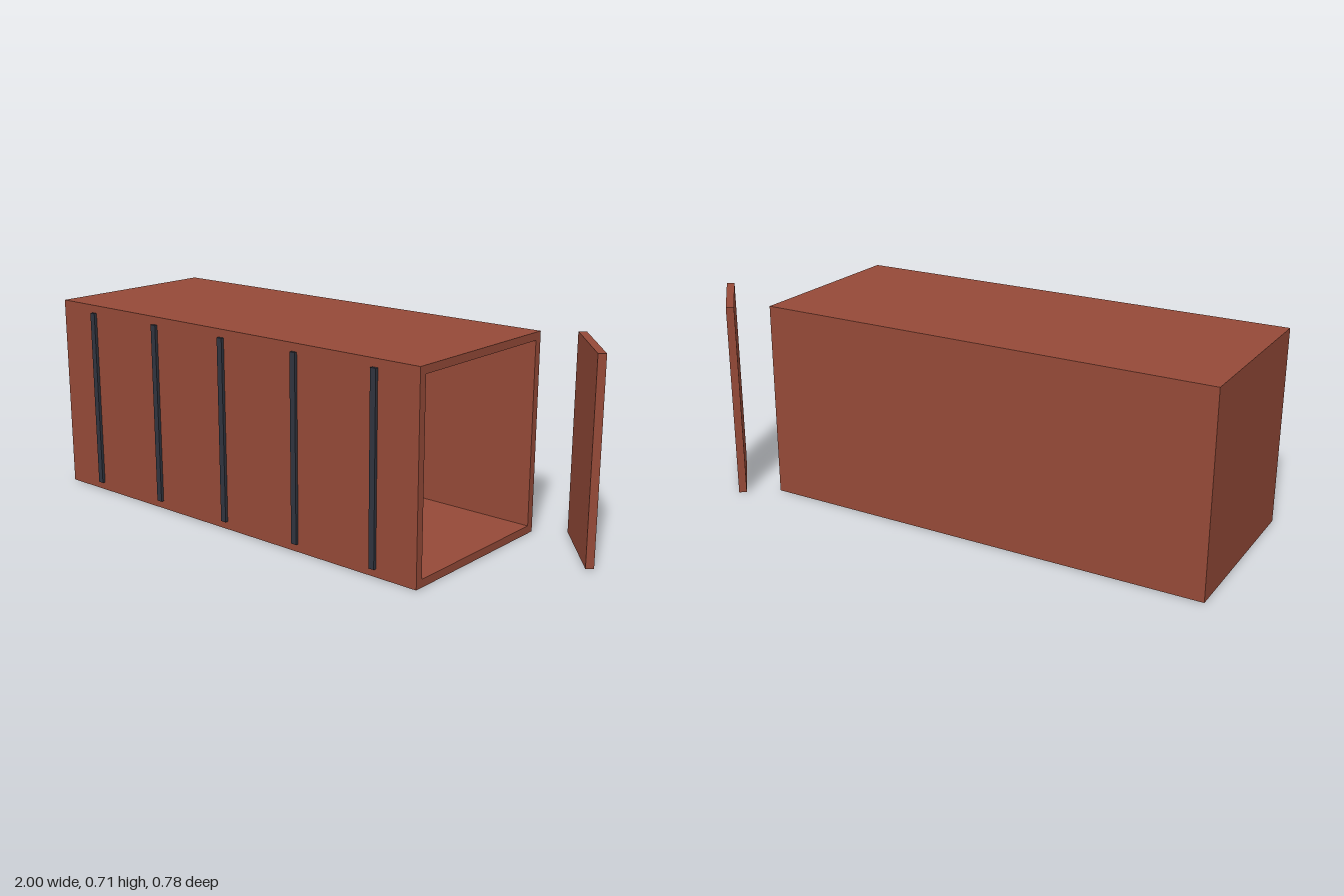
import * as THREE from 'three';

export function createModel() {
  const model = new THREE.Group();
  model.name = 'container';
  const rust = new THREE.MeshStandardMaterial({ color: 0x954a38 });
  rust.name = 'rust red';
  const dark = new THREE.MeshStandardMaterial({ color: 0x30343f });
  dark.name = 'dark steel';

  const box = (name, material, size, position) => {
    const mesh = new THREE.Mesh(new THREE.BoxGeometry(...size), material);
    mesh.name = name;
    mesh.position.set(...position);
    model.add(mesh);
    return mesh;
  };

  // Outer shell: left end (+x) open, right end closed
  const x0 = -1, x1 = 0.665, z0 = -0.295, z1 = 0.377, height = 0.713, wall = 0.028;
  const length = x1 - x0, depth = z1 - z0;
  const cx = (x0 + x1) / 2, cy = height / 2, cz = (z0 + z1) / 2;
  const innerHeight = height - 2 * wall;
  box('floor', rust, [length, wall, depth], [cx, wall / 2, cz]);
  box('roof', rust, [length, wall, depth], [cx, height - wall / 2, cz]);
  box('frontWall', rust, [length, innerHeight, wall], [cx, cy, z1 - wall / 2]);
  box('backWall', rust, [length, innerHeight, wall], [cx, cy, z0 + wall / 2]);
  box('endWall', rust, [wall, innerHeight, depth - 2 * wall], [x0 + wall / 2, cy, cz]);

  // Upright ribs along the front wall
  for (let i = 0; i < 5; i++) {
    box('rib', dark, [0.022, 0.656, 0.022], [-0.828 + i * 0.3305, cy, z1]);
  }

  // Door leaf standing ajar beyond the open end
  const door = box('door', rust, [depth / 2 - 0.003, height, wall], [0.882, cy, -0.2515]);
  door.rotation.y = THREE.MathUtils.degToRad(-50);

  return model;
}
